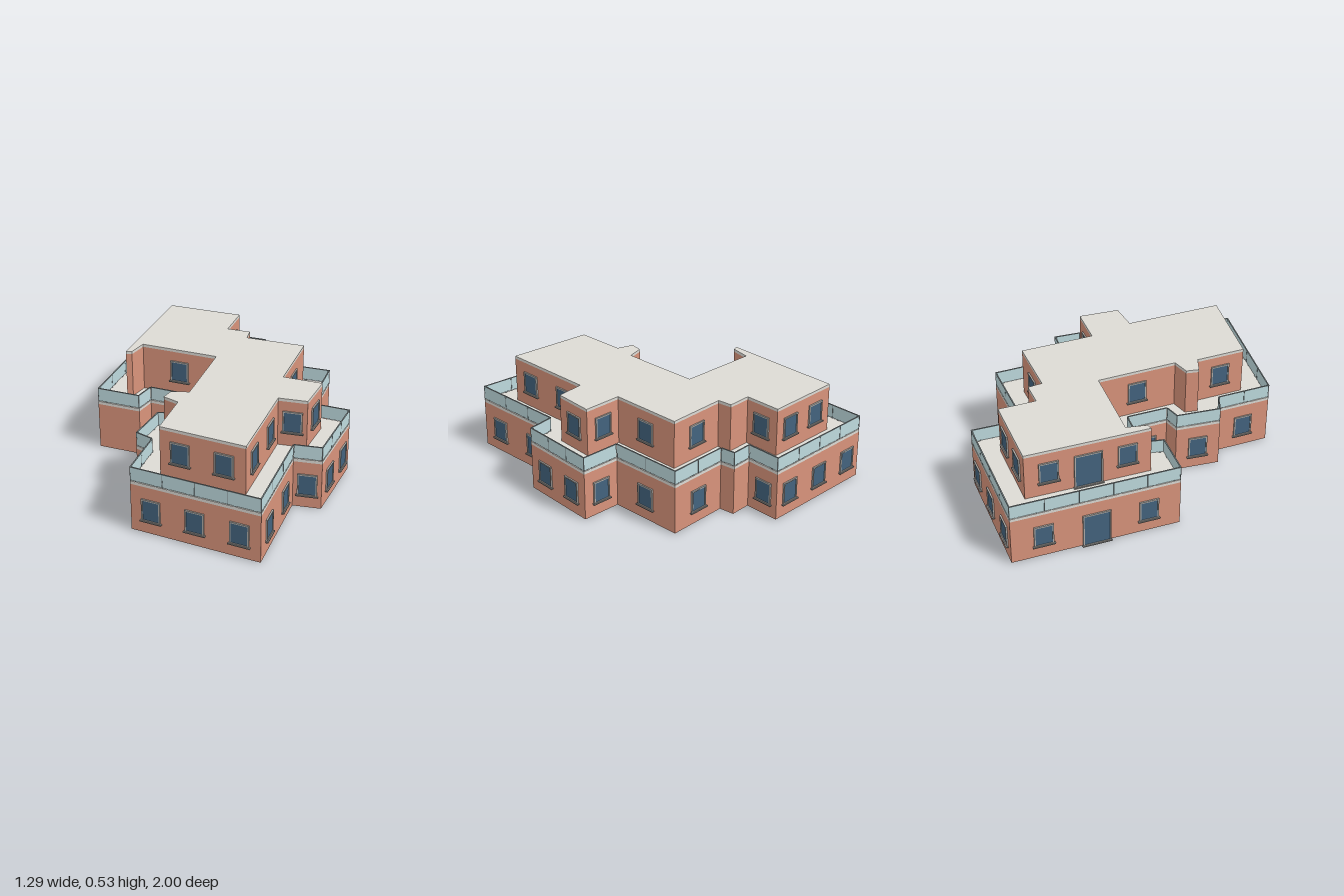
import * as THREE from 'three';

const mat = (name, color) => {
  const m = new THREE.MeshStandardMaterial({ color });
  m.name = name;
  return m;
};

// Floor outlines as [x, z], starting at the rear corner and running towards +x
const LOWER = [
  [-0.055, -1], [0.452, -0.608], [0.333, -0.46], [0.424, -0.395], [0.382, -0.325],
  [0.644, -0.13], [0.407, 0.19], [0.569, 0.325], [0.29, 0.648], [0.167, 0.573],
  [-0.152, 0.998], [-0.645, 0.527], [-0.472, 0.295], [-0.527, 0.21], [-0.367, 0.038],
  [-0.29, 0.07], [-0.16, -0.1], [-0.325, -0.24], [-0.41, -0.165], [-0.592, -0.315],
];
const UPPER = [
  [-0.03, -0.835], [0.287, -0.59], [0.167, -0.435], [0.267, -0.36], [0.227, -0.295],
  [0.48, -0.105], [0.247, 0.205], [0.407, 0.335], [0.266, 0.495], [0.142, 0.415],
  [-0.165, 0.82], [-0.49, 0.51], [-0.335, 0.3], [-0.385, 0.225], [-0.335, 0.18],
  [-0.25, 0.215], [0, -0.125], [-0.32, -0.39], [-0.4, -0.32], [-0.43, -0.33],
];

// Window positions along each wall (0..1), keyed by wall number
const LOWER_WINDOWS = {
  0: [0.15, 0.5, 0.85], 1: [0.46], 4: [0.5], 5: [0.5], 6: [0.5], 7: [0.24, 0.73], 8: [0.5],
  9: [0.26, 0.76], 10: [0.16, 0.5, 0.84], 11: [0.5], 13: [0.5], 15: [0.5], 16: [0.5], 19: [0.19, 0.81],
};
const UPPER_WINDOWS = {
  0: [0.27, 0.75], 1: [0.52], 4: [0.5], 5: [0.5], 6: [0.5], 7: [0.48], 8: [0.5],
  9: [0.26, 0.76], 10: [0.25, 0.76], 11: [0.5], 15: [0.5], 16: [0.5], 19: [0.19, 0.81],
};
const DOOR_WALL = 19;

export function createModel() {
  const brick = mat('brick', 0xd8937b);
  const concrete = mat('concrete', 0xdcdad4);
  const windowGlass = mat('windowGlass', 0x43637e);
  const frameGrey = mat('frameGrey', 0xaeaca8);
  const sillGrey = mat('sillGrey', 0x8f8d8a);
  const railGlass = mat('railGlass', 0xbedade);
  const railMetal = mat('railMetal', 0x818c8e);

  const model = new THREE.Group();
  model.name = 'building';

  const box = (parent, name, material, w, h, d, x, y, z) => {
    const mesh = new THREE.Mesh(new THREE.BoxGeometry(w, h, d), material);
    mesh.name = name;
    mesh.position.set(x, y, z);
    parent.add(mesh);
  };

  // Solid prism over a floor outline
  const prism = (name, outline, y0, y1, material) => {
    const shape = new THREE.Shape(outline.map(([x, z]) => new THREE.Vector2(x, -z)));
    const geo = new THREE.ExtrudeGeometry(shape, { depth: y1 - y0, bevelEnabled: false });
    geo.rotateX(-Math.PI / 2).translate(0, y0, 0);
    const mesh = new THREE.Mesh(geo, material);
    mesh.name = name;
    model.add(mesh);
  };

  // Group at fraction t of a wall, local +z pointing out of the building
  const onWall = (name, outline, i, t) => {
    const [ax, az] = outline[i];
    const [bx, bz] = outline[(i + 1) % outline.length];
    const group = new THREE.Group();
    group.name = name;
    group.position.set(ax + (bx - ax) * t, 0, az + (bz - az) * t);
    group.rotation.y = Math.atan2(bz - az, ax - bx);
    model.add(group);
    return { group, length: Math.hypot(bx - ax, bz - az) };
  };

  // Glazed opening with a surrounding frame
  const opening = (group, w, y0, y1) => {
    const h = y1 - y0, mid = (y0 + y1) / 2, f = 0.007;
    box(group, 'pane', windowGlass, w - f, h - f, 0.004, 0, mid, 0.002);
    for (const s of [-1, 1]) {
      box(group, 'frameSide', frameGrey, f, h, 0.008, s * (w - f) / 2, mid, 0.004);
      box(group, 'frameRail', frameGrey, w, f, 0.008, 0, mid + s * (h - f) / 2, 0.004);
    }
  };

  const addOpenings = (outline, table, y0, y1, floor) => {
    for (const [i, places] of Object.entries(table)) {
      for (const t of places) {
        const { group } = onWall('window', outline, +i, t);
        opening(group, 0.1, y0, y1);
        box(group, 'sill', sillGrey, 0.113, 0.006, 0.014, 0, y0, 0.007);
      }
    }
    const { group } = onWall('door', outline, DOOR_WALL, 0.5);
    opening(group, 0.145, floor, y1);
    box(group, 'doorStep', sillGrey, 0.155, 0.005, 0.014, 0, floor + 0.0025, 0.007);
  };

  // Storeys and roof slabs
  prism('lowerWalls', LOWER, 0.003, 0.256, brick);
  prism('terraceSlab', LOWER, 0.256, 0.272, concrete);
  prism('upperWalls', UPPER, 0.272, 0.515, brick);
  prism('roofSlab', UPPER, 0.515, 0.53, concrete);
  addOpenings(LOWER, LOWER_WINDOWS, 0.07, 0.19, 0);
  addOpenings(UPPER, UPPER_WINDOWS, 0.345, 0.463, 0.272);

  // Glass balustrade around the terrace
  LOWER.forEach((_, i) => {
    const { group, length } = onWall('balustrade', LOWER, i, 0.5);
    box(group, 'handrail', railMetal, length, 0.004, 0.006, 0, 0.347, -0.003);
    const count = Math.max(1, Math.round(length / 0.17));
    const step = length / count;
    for (let k = 0; k < count; k++) {
      const x = -length / 2 + step * (k + 0.5);
      box(group, 'glassPanel', railGlass, step - 0.003, 0.069, 0.004, x, 0.3105, -0.003);
      box(group, 'post', railMetal, 0.003, 0.073, 0.005, x - step / 2 + 0.0015, 0.3085, -0.003);
      for (const s of [-1, 1]) {
        box(group, 'clip', railMetal, 0.012, 0.005, 0.005, x + s * step * 0.3, 0.2745, -0.003);
      }
    }
  });

  return model;
}
